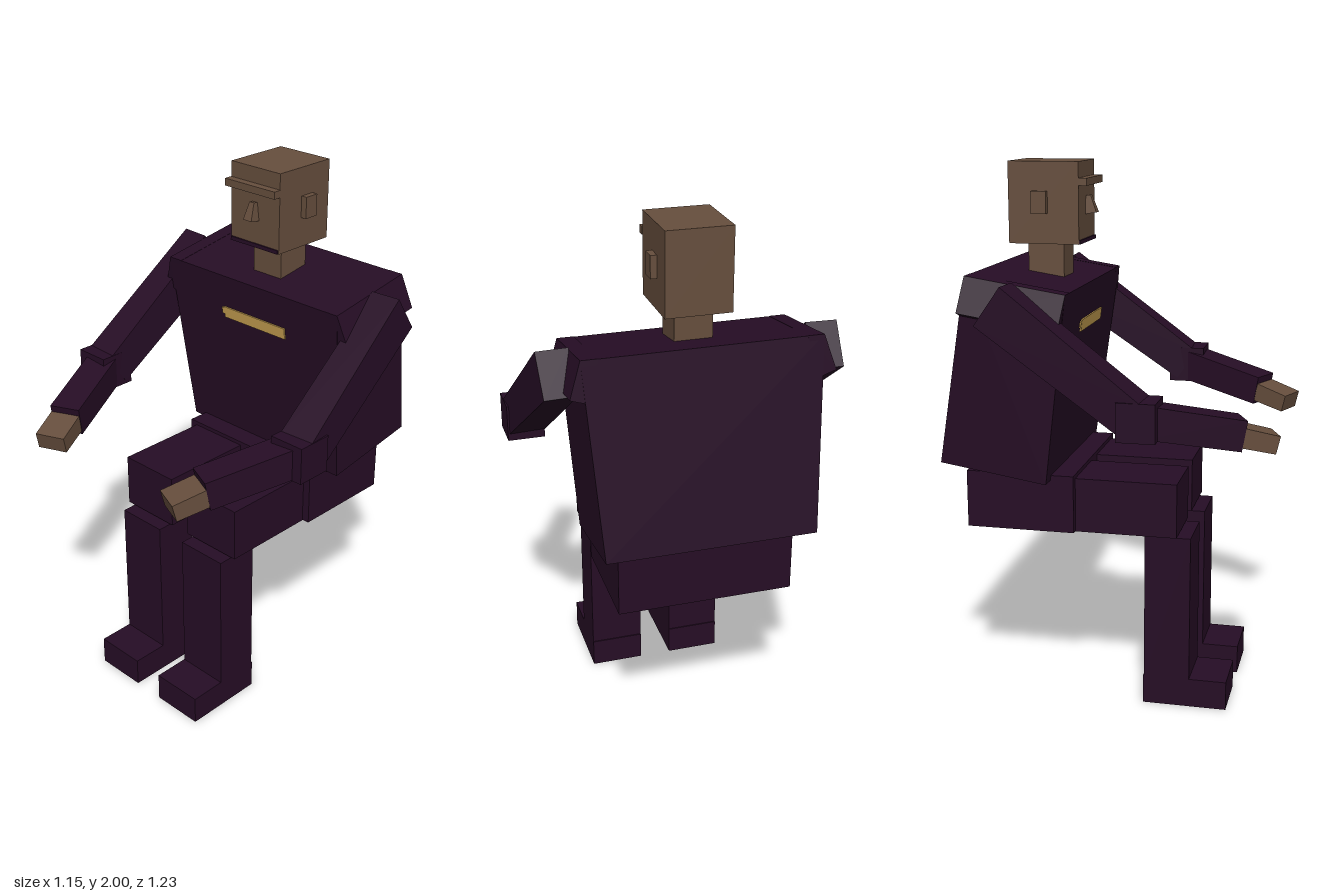
import * as THREE from 'three';

const material = (name, color) => {
  const m = new THREE.MeshStandardMaterial({ color });
  m.name = name;
  return m;
};

export function createModel() {
  const suit = material('dark purple cloth', 0x260d25);
  const skin = material('brown skin', 0x664e3d);
  const gold = material('gold', 0xc9a252);

  const model = new THREE.Group();
  model.name = 'seatedFigure';

  const add = (name, geometry, mat) => {
    const mesh = new THREE.Mesh(geometry, mat);
    mesh.name = name;
    model.add(mesh);
    return mesh;
  };

  // Upright box given by its extents on each axis
  const block = (name, mat, [x0, x1], [y0, y1], [z0, z1]) => {
    const mesh = add(name, new THREE.BoxGeometry(x1 - x0, y1 - y0, z1 - z0), mat);
    mesh.position.set((x0 + x1) / 2, (y0 + y1) / 2, (z0 + z1) / 2);
    return mesh;
  };

  // Tapered box running from point a to point b, sized [width, depth] at each end
  const limb = (name, mat, a, b, sizeA, sizeB) => {
    const p = new THREE.Vector3(...a), q = new THREE.Vector3(...b);
    const length = p.distanceTo(q);
    const geometry = new THREE.BoxGeometry(1, 1, length);
    const pos = geometry.attributes.position;
    for (let i = 0; i < pos.count; i++) {
      const [w, d] = pos.getZ(i) < 0 ? sizeA : sizeB;
      pos.setXY(i, pos.getX(i) * w, pos.getY(i) * d);
    }
    geometry.computeVertexNormals();
    const mesh = add(name, geometry, mat);
    mesh.position.copy(p).lerp(q, 0.5);
    mesh.lookAt(q);
    return mesh;
  };

  const tilt = 0.154; // backward lean of the torso

  // Torso and hips
  limb('torso', suit, [0, 0.902, -0.413], [0, 1.593, -0.305], [0.76, 0.4], [0.84, 0.365]);
  block('hips', suit, [-0.32, 0.32], [0.675, 0.89], [-0.535, -0.13]);

  // Chest bar, lying on the leaning chest with a small step at one end
  const bar = block('chestBar', gold, [-0.14, 0.165], [1.392, 1.436], [-0.147, -0.139]);
  bar.rotation.x = 0.13;
  const barEnd = block('chestBarEnd', gold, [-0.152, -0.14], [1.406, 1.431], [-0.147, -0.139]);
  barEnd.rotation.x = 0.13;

  // Neck and head
  block('neck', skin, [-0.068, 0.068], [1.58, 1.71], [-0.357, -0.222]);
  block('head', skin, [-0.118, 0.118], [1.705, 2], [-0.415, -0.152]);
  block('brow', skin, [-0.12, 0.12], [1.915, 1.942], [-0.155, -0.121]);
  block('chinStrip', suit, [-0.115, 0.115], [1.706, 1.72], [-0.154, -0.146]);
  limb('nose', skin, [0, 1.81, -0.133], [0, 1.875, -0.143], [0.04, 0.045], [0.022, 0.018]);

  for (const s of [1, -1]) {
    const side = s > 0 ? 'left' : 'right';
    const mx = (a, b) => (s > 0 ? [a, b] : [-b, -a]);

    block(side + 'Ear', skin, mx(0.11, 0.141), [1.815, 1.895], [-0.326, -0.268]);

    // Shoulder flap along the top edge of the torso
    const flap = new THREE.Shape([
      new THREE.Vector2(s * 0.36, 0.002),
      new THREE.Vector2(s * 0.42, 0.002),
      new THREE.Vector2(s * 0.462, -0.125),
      new THREE.Vector2(s * 0.4, -0.145),
    ]);
    const pad = add(side + 'ShoulderFlap',
      new THREE.ExtrudeGeometry(flap, { depth: 0.366, bevelEnabled: false }), suit);
    pad.position.set(0, 1.62, -0.486);
    pad.rotation.x = tilt;

    // Arm
    limb(side + 'UpperArm', suit, [s * 0.475, 1.535, -0.367], [s * 0.505, 1.165, 0.15],
      [0.115, 0.168], [0.135, 0.135]);
    block(side + 'Elbow', suit, mx(0.437, 0.575), [1.098, 1.235], [0.085, 0.222]);
    limb(side + 'Forearm', suit, [s * 0.5, 1.165, 0.16], [s * 0.358, 1.1, 0.478],
      [0.116, 0.115], [0.116, 0.11]);
    limb(side + 'Hand', skin, [s * 0.36, 1.094, 0.475], [s * 0.312, 1.063, 0.59],
      [0.114, 0.07], [0.114, 0.065]);

    // Leg
    block(side + 'Thigh', suit, mx(0.042, 0.29), [0.672, 0.875], [-0.37, 0.247]);
    block(side + 'Shin', suit, mx(0.062, 0.266), [0.1, 0.665], [0.124, 0.295]);
    block(side + 'Foot', suit, mx(0.062, 0.266), [0, 0.11], [0.12, 0.435]);
  }

  return model;
}
